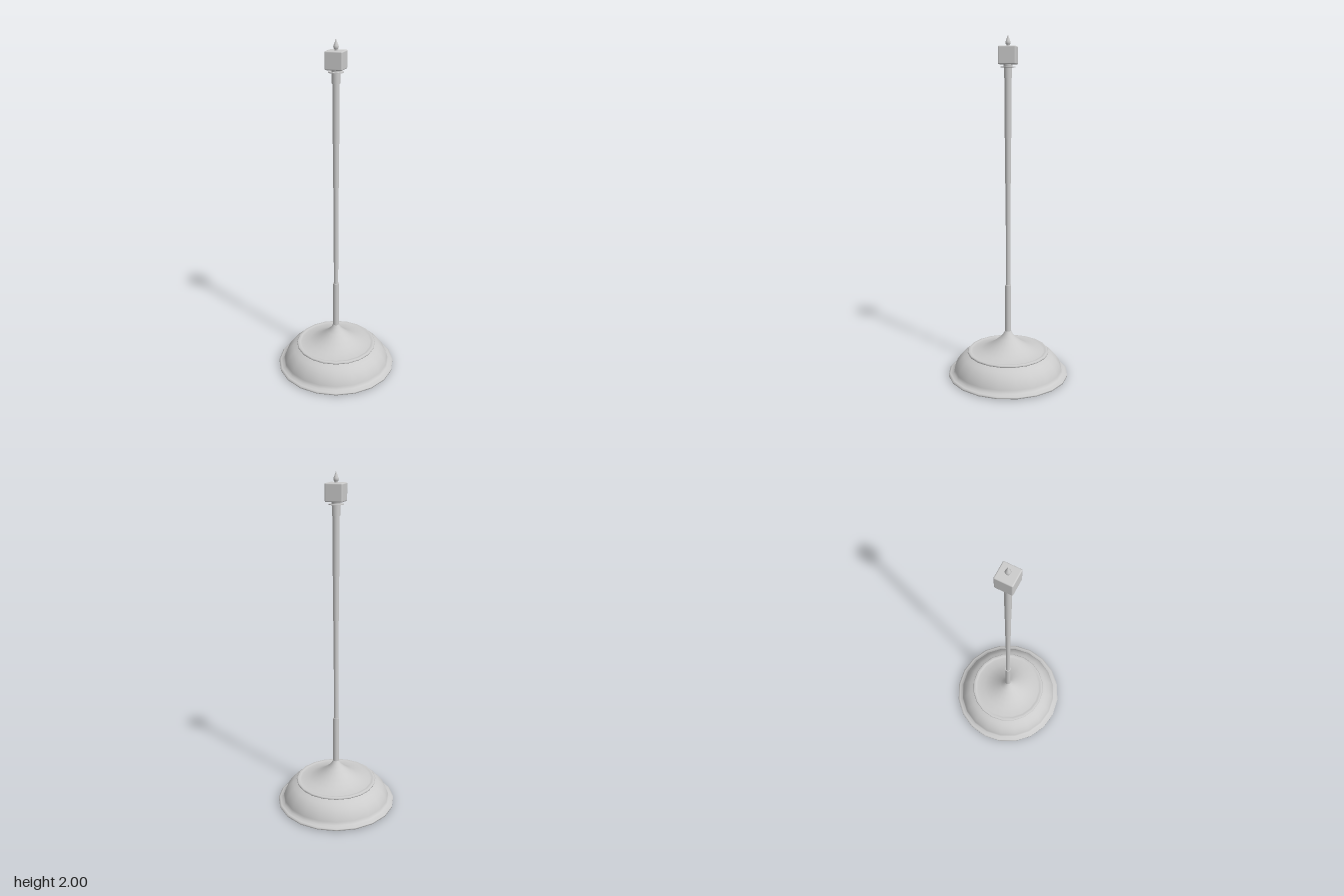
import * as THREE from 'three';
import { RoundedBoxGeometry } from 'three/addons/geometries/RoundedBoxGeometry.js';

const material = new THREE.MeshStandardMaterial({ color: 0xcccccc, side: THREE.DoubleSide });

export function createModel() {
  const group = new THREE.Group();
  const add = (name, geometry, y = 0) => {
    const mesh = new THREE.Mesh(geometry, material);
    mesh.name = name;
    mesh.position.y = y;
    group.add(mesh);
    return mesh;
  };
  // Turned part from [radius, height] pairs
  const turned = (name, points, sides) =>
    add(name, new THREE.LatheGeometry(points.map(([r, y]) => new THREE.Vector2(r, y)), sides));

  // Hollow domed foot with a rolled rim, open underneath
  turned('baseDome', [
    [0.325, 0.006], [0.35, 0.004], [0.36, 0.009], [0.36, 0.017], [0.35, 0.023], [0.33, 0.025],
    [0.325, 0.045], [0.313, 0.075], [0.293, 0.103], [0.268, 0.126], [0.235, 0.141],
  ], 20);

  // Raised lip and concave cone that carries the pole
  turned('baseCone', [
    [0.235, 0.141], [0.243, 0.143], [0.245, 0.149], [0.24, 0.155], [0.225, 0.155], [0.215, 0.15],
    [0.165, 0.161], [0.125, 0.177], [0.085, 0.202], [0.053, 0.229], [0.03, 0.252], [0.018, 0.276],
  ], 20);

  // Telescopic pole: [bottom, top, radius]
  const sections = [
    [0.265, 0.56, 0.018], [0.55, 1.18, 0.0135], [1.17, 1.44, 0.0165],
    [1.43, 1.77, 0.019], [1.765, 1.825, 0.023],
  ];
  sections.forEach(([bottom, top, r], i) =>
    add(`poleSection${i + 1}`, new THREE.CylinderGeometry(r, r, top - bottom, 20), (bottom + top) / 2));

  // Collar under the head
  add('collarDisc', new THREE.CylinderGeometry(0.042, 0.042, 0.005, 20), 1.826);
  add('collarNeck', new THREE.CylinderGeometry(0.026, 0.024, 0.022, 20), 1.836);

  // Cube head with softened edges
  add('headCube', new RoundedBoxGeometry(0.1, 0.1, 0.1, 2, 0.007), 1.89);

  // Pointed finial
  turned('finial', [
    [0.009, 1.935], [0.009, 1.945], [0.013, 1.95], [0.015, 1.958], [0.013, 1.966],
    [0.009, 1.976], [0.005, 1.988], [0, 2],
  ], 16);

  return group;
}
